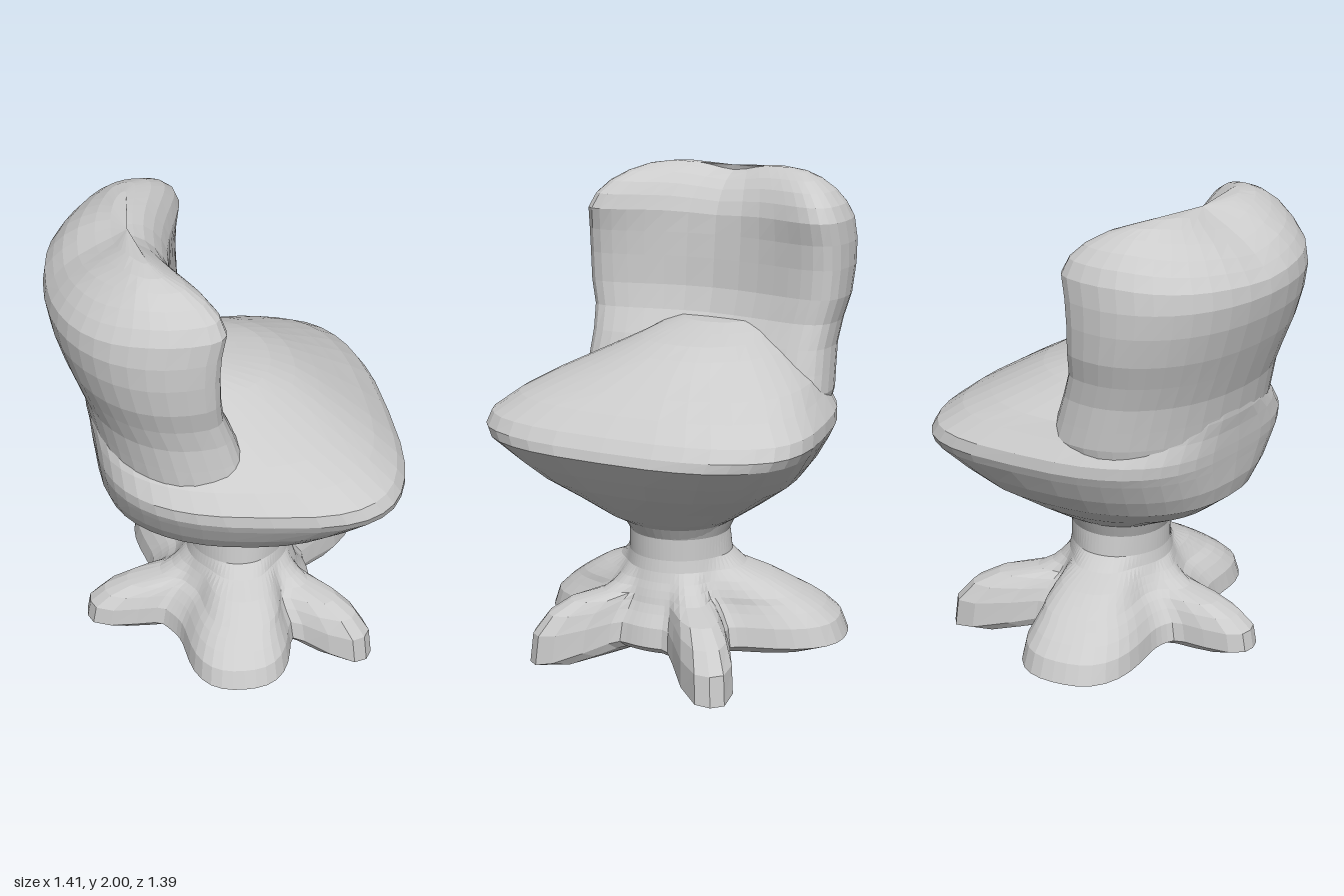
import * as THREE from 'three';

const material = new THREE.MeshStandardMaterial({ color: 0xcccccc, flatShading: true, roughness: 0.9 });

// Signed power, for rounded-square outlines
const spow = (v, p) => Math.sign(v) * Math.pow(Math.abs(v), p);
const clamp = THREE.MathUtils.clamp;

// Skin a stack of closed rings (bottom to top) and cap both ends
function loft(name, rows, segments, pointAt) {
  const pos = [], index = [];
  rows.forEach((row) => {
    for (let j = 0; j < segments; j++) pos.push(...pointAt(row, (j / segments) * Math.PI * 2));
  });
  const at = (i, j) => i * segments + (j % segments);
  for (let i = 0; i < rows.length - 1; i++) {
    for (let j = 0; j < segments; j++) {
      const a = at(i, j), b = at(i, j + 1), c = at(i + 1, j), d = at(i + 1, j + 1);
      index.push(a, c, b, b, c, d);
    }
  }
  [0, rows.length - 1].forEach((i) => {
    const centre = [0, 0, 0];
    for (let j = 0; j < segments; j++) {
      for (let k = 0; k < 3; k++) centre[k] += pos[at(i, j) * 3 + k] / segments;
    }
    const m = pos.length / 3;
    pos.push(...centre);
    for (let j = 0; j < segments; j++) {
      if (i === 0) index.push(m, at(i, j), at(i, j + 1));
      else index.push(m, at(i, j + 1), at(i, j));
    }
  });
  const geometry = new THREE.BufferGeometry();
  geometry.setAttribute('position', new THREE.Float32BufferAttribute(pos, 3));
  geometry.setIndex(index);
  geometry.computeVertexNormals();
  const mesh = new THREE.Mesh(geometry, material);
  mesh.name = name;
  return mesh;
}

// Plump seat, wider towards its leading edge (+x)
function createSeat() {
  // y, back x, leading x, half width, squareness
  const rows = [
    [0.53, -0.16, 0.26, 0.22, 2],
    [0.58, -0.18, 0.29, 0.25, 2],
    [0.62, -0.25, 0.36, 0.32, 2.1],
    [0.7, -0.4, 0.46, 0.45, 2.2],
    [0.79, -0.51, 0.57, 0.58, 2.4],
    [0.87, -0.535, 0.64, 0.65, 2.6],
    [0.96, -0.545, 0.705, 0.71, 2.9],
    [1.0, -0.55, 0.695, 0.73, 3],
    [1.05, -0.555, 0.66, 0.725, 3],
    [1.12, -0.56, 0.575, 0.66, 2.8],
    [1.18, -0.57, 0.48, 0.59, 2.5],
    [1.24, -0.57, 0.38, 0.49, 2.3],
    [1.29, -0.55, 0.29, 0.4, 2.2],
    [1.33, -0.52, 0.19, 0.32, 2.2],
    [1.36, -0.49, 0.06, 0.27, 2.2],
    [1.385, -0.45, -0.05, 0.2, 2.2],
  ];
  return loft('seat', rows, 40, ([y, x0, x1, w, n], t) => {
    const x = (x0 + x1) / 2 + ((x1 - x0) / 2) * spow(Math.cos(t), 2 / n);
    const side = Math.sin(t) > 0 ? 0.02 : 0;
    const z = w * spow(Math.sin(t), 2 / n) * clamp(0.89 + 0.26 * x, 0.7, 1.02 + side);
    return [x, y, z - 0.06 * clamp((y - 1.1) / 0.2, 0, 1)];
  });
}

// Backrest: crescent rings whose two wings curl forward and sink into the seat
function createBackrest() {
  // y, rear x, inner x at the middle, forward curl, half width, scale towards the crown
  const rows = [
    [0.88, -0.48, -0.05, 0.05, 0.42, 1],
    [1.0, -0.535, -0.03, 0.15, 0.51, 1],
    [1.12, -0.555, -0.02, 0.2, 0.545, 1],
    [1.2, -0.57, -0.05, 0.2, 0.54, 1],
    [1.3, -0.59, -0.1, 0.22, 0.535, 1],
    [1.4, -0.625, -0.16, 0.25, 0.545, 1],
    [1.5, -0.66, -0.19, 0.28, 0.57, 1],
    [1.62, -0.695, -0.2, 0.3, 0.578, 1],
    [1.72, -0.71, -0.21, 0.33, 0.578, 1],
    [1.81, -0.7, -0.22, 0.37, 0.57, 1],
    [1.87, -0.68, -0.23, 0.38, 0.555, 0.94],
    [1.92, -0.66, -0.24, 0.37, 0.53, 0.84],
    [1.96, -0.63, -0.25, 0.34, 0.5, 0.68],
    [1.985, -0.59, -0.26, 0.28, 0.48, 0.45],
    [1.998, -0.55, -0.27, 0.22, 0.42, 0.2],
  ];
  return loft('backrest', rows, 40, ([y, rear, inner, curl, w, s], t) => {
    const k = spow(Math.sin(t), 2 / 2.4);
    const u = k * (0.55 + 0.45 * s);
    const wing = curl - (k < 0 ? 0.04 : 0);
    const back = rear + 0.1 * u * u, front = inner + wing * u * u;
    const x = (back + front) / 2 + ((front - back) / 2) * s * spow(Math.cos(t), 2 / 2.4);
    const crown = clamp((y - 1.7) / 0.28, 0, 1);
    const lift = crown * (0.25 * Math.min(x + 0.4, 0) - 0.03 * Math.exp(-u * u * 14));
    return [x, y + lift, u * w - 0.025];
  });
}

// Feet: angle, extra reach, angular width, drop of the toe, broad or slim
const feet = [
  [39, 0.32, 13, 0.09, false],
  [95, 0.26, 29, 0, true],
  [176, 0.28, 14, 0, false],
  [255, 0.34, 31, 0, true],
  [323, 0.39, 13, 0.09, false],
];

// Central column flaring into five spreading feet
function createBase() {
  // y, hub radius, share of reach for slim feet, share for broad feet
  const rows = [
    [0.06, 0.2, 0.5, 0.5],
    [0.07, 0.32, 0.85, 0.85],
    [0.1, 0.36, 1, 1],
    [0.18, 0.345, 1, 0.95],
    [0.23, 0.31, 0.9, 0.88],
    [0.265, 0.285, 0.66, 0.8],
    [0.29, 0.265, 0.25, 0.74],
    [0.32, 0.25, 0.12, 0.62],
    [0.35, 0.235, 0.06, 0.48],
    [0.39, 0.22, 0, 0.18],
    [0.44, 0.21, 0, 0.03],
    [0.53, 0.21, 0, 0],
    [0.62, 0.25, 0, 0],
  ];
  return loft('footedBase', rows, 80, ([y, hub, slim, broad], t) => {
    let reach = 0, drop = 0;
    feet.forEach(([angle, length, width, toe, isBroad]) => {
      let d = THREE.MathUtils.radToDeg(t) - angle;
      d -= 360 * Math.round(d / 360);
      const lobe = Math.exp(-Math.pow(Math.abs(d) / width, 3)) * (isBroad ? broad : slim);
      reach += length * lobe;
      drop += toe * lobe;
    });
    const r = hub + reach;
    const low = clamp((0.27 - y) / 0.17, 0, 1);
    return [r * Math.cos(t) + 0.05 - 0.03 * slim, Math.max(0, y - drop * low), r * Math.sin(t)];
  });
}

export function createModel() {
  const group = new THREE.Group();
  group.name = 'chair';
  group.add(createBase(), createSeat(), createBackrest());
  return group;
}
